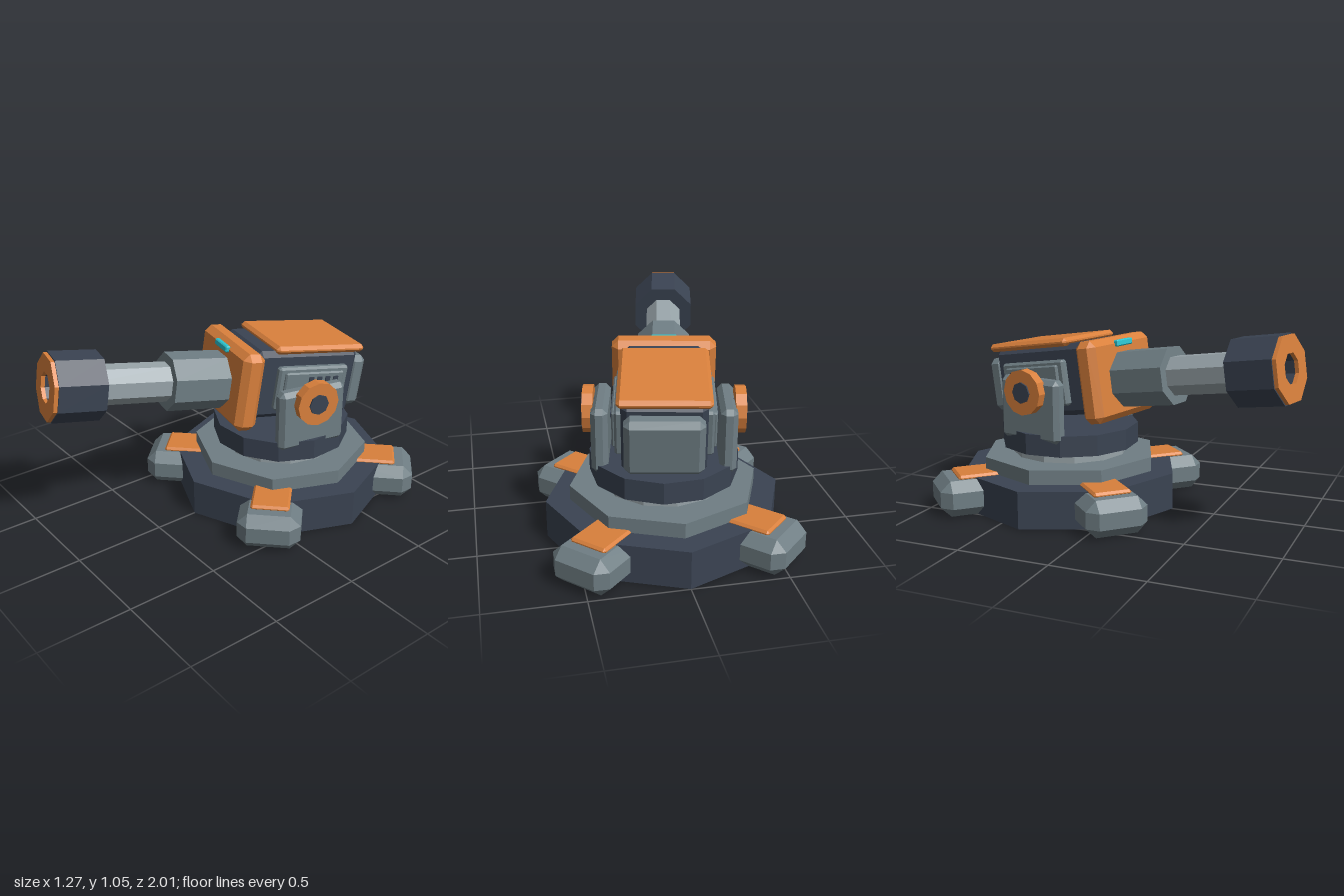
import * as THREE from 'three';
import { ConvexGeometry } from 'three/addons/geometries/ConvexGeometry.js';

const mat = (name, color) => {
  const m = new THREE.MeshStandardMaterial({ color });
  m.name = name;
  m.flatShading = true;
  return m;
};

// Box with all edges and corners cut at c
function chamferBox(w, h, d, c) {
  const pts = [];
  for (const x of [-1, 1]) for (const y of [-1, 1]) for (const z of [-1, 1]) {
    const a = x * w / 2, b = y * h / 2, e = z * d / 2;
    pts.push(
      new THREE.Vector3(a, b - y * c, e - z * c),
      new THREE.Vector3(a - x * c, b, e - z * c),
      new THREE.Vector3(a - x * c, b - y * c, e));
  }
  return new ConvexGeometry(pts);
}

function octagon(Type, r) {
  const s = new Type();
  for (let i = 0; i < 8; i++) {
    const a = (i + 0.5) * Math.PI / 4;
    s[i ? 'lineTo' : 'moveTo'](r * Math.cos(a), r * Math.sin(a));
  }
  s.closePath();
  return s;
}

// Octagonal tube along z, flat side up
function octTube(outer, inner, z0, z1) {
  const s = octagon(THREE.Shape, outer);
  if (inner) s.holes.push(octagon(THREE.Path, inner));
  return new THREE.ExtrudeGeometry(s, { depth: z1 - z0, bevelEnabled: false }).translate(0, 0, z0);
}

const drum = (r, y0, y1, n) =>
  new THREE.CylinderGeometry(r, r, y1 - y0, n).translate(0, (y0 + y1) / 2, 0);

export function createModel() {
  const orange = mat('orange paint', 0xd9803c);
  const dark = mat('dark steel', 0x3a4352);
  const grey = mat('grey steel', 0x6f7e84);
  const light = mat('light steel', 0x98a4a9);
  const cyan = mat('cyan light', 0x2cc4d0);

  const model = new THREE.Group();
  model.name = 'turret';
  const add = (parent, name, geo, material, x = 0, y = 0, z = 0) => {
    const m = new THREE.Mesh(geo, material);
    m.name = name;
    m.position.set(x, y, z);
    parent.add(m);
    return m;
  };

  // Fixed base
  const base = new THREE.Group();
  base.name = 'base';
  base.position.z = -0.37;
  model.add(base);
  add(base, 'basePlate', drum(0.628, 0, 0.205, 8), dark);
  add(base, 'baseStep', drum(0.5, 0.2, 0.285, 8), grey);
  add(base, 'neck', drum(0.327, 0.28, 0.34, 12), light);

  // Four diagonal feet with top pads
  for (let i = 0; i < 4; i++) {
    const foot = new THREE.Group();
    foot.name = 'foot';
    foot.rotation.y = Math.PI / 4 + i * Math.PI / 2;
    base.add(foot);
    add(foot, 'footBlock', chamferBox(0.34, 0.199, 0.4, 0.055), grey, 0, 0.1005, 0.58);
    add(foot, 'footPad', chamferBox(0.21, 0.03, 0.26, 0.012), orange, 0, 0.205, 0.545);
  }

  // Rotating mount
  const mount = new THREE.Group();
  mount.name = 'mount';
  mount.rotation.y = THREE.MathUtils.degToRad(-12);
  base.add(mount);
  add(mount, 'turntable', drum(0.39, 0.335, 0.45, 12), dark);

  for (const s of [-1, 1]) {
    add(mount, 'sideArm', chamferBox(0.087, 0.345, 0.4, 0.025), grey, s * 0.3235, 0.577, 0);
    const disc = new THREE.CylinderGeometry(0.124, 0.124, 0.055, 12).rotateZ(Math.PI / 2);
    add(mount, 'pivotDisc', disc, orange, s * 0.3875, 0.68, 0);
    const hub = new THREE.CylinderGeometry(0.058, 0.058, 0.07, 8).rotateZ(Math.PI / 2);
    add(mount, 'pivotHub', hub, dark, s * 0.388, 0.68, 0);
  }

  // Tilting gun head
  const head = new THREE.Group();
  head.name = 'gunHead';
  head.position.y = 0.68;
  head.rotation.x = THREE.MathUtils.degToRad(-8.5);
  mount.add(head);
  add(head, 'body', chamferBox(0.42, 0.39, 0.64, 0.03), dark, 0, 0.03, -0.03);
  add(head, 'roofPlate', chamferBox(0.46, 0.045, 0.56, 0.018), orange, 0, 0.237, -0.09);
  add(head, 'rearBlock', chamferBox(0.39, 0.3, 0.11, 0.03), grey, 0, 0.025, -0.375);
  add(head, 'frontShield', chamferBox(0.555, 0.44, 0.13, 0.035), orange, 0, 0.012, 0.335);
  add(head, 'statusLight', chamferBox(0.14, 0.035, 0.03, 0.006), cyan, 0, 0.197, 0.405);

  // Side panels with vent slots
  for (const s of [-1, 1]) {
    add(head, 'sidePanel', chamferBox(0.06, 0.25, 0.44, 0.012), grey, s * 0.215, 0.02, -0.055);
    add(head, 'sidePanelCover', chamferBox(0.04, 0.2, 0.37, 0.008), grey, s * 0.24, 0.02, -0.055);
    for (let i = 0; i < 4; i++) {
      add(head, 'ventSlot', new THREE.BoxGeometry(0.008, 0.03, 0.03), dark,
        s * 0.261, 0.08, -0.03 - i * 0.052);
    }
  }

  // Barrel and hollow muzzle
  add(head, 'barrelSleeve', octTube(0.16, 0, 0.38, 0.72), grey);
  add(head, 'barrel', octTube(0.108, 0.058, 0.7, 1.27), light);
  add(head, 'muzzle', octTube(0.184, 0.082, 1.1, 1.355), dark);
  add(head, 'muzzleRing', octTube(0.177, 0.082, 1.355, 1.376), orange);

  return model;
}
